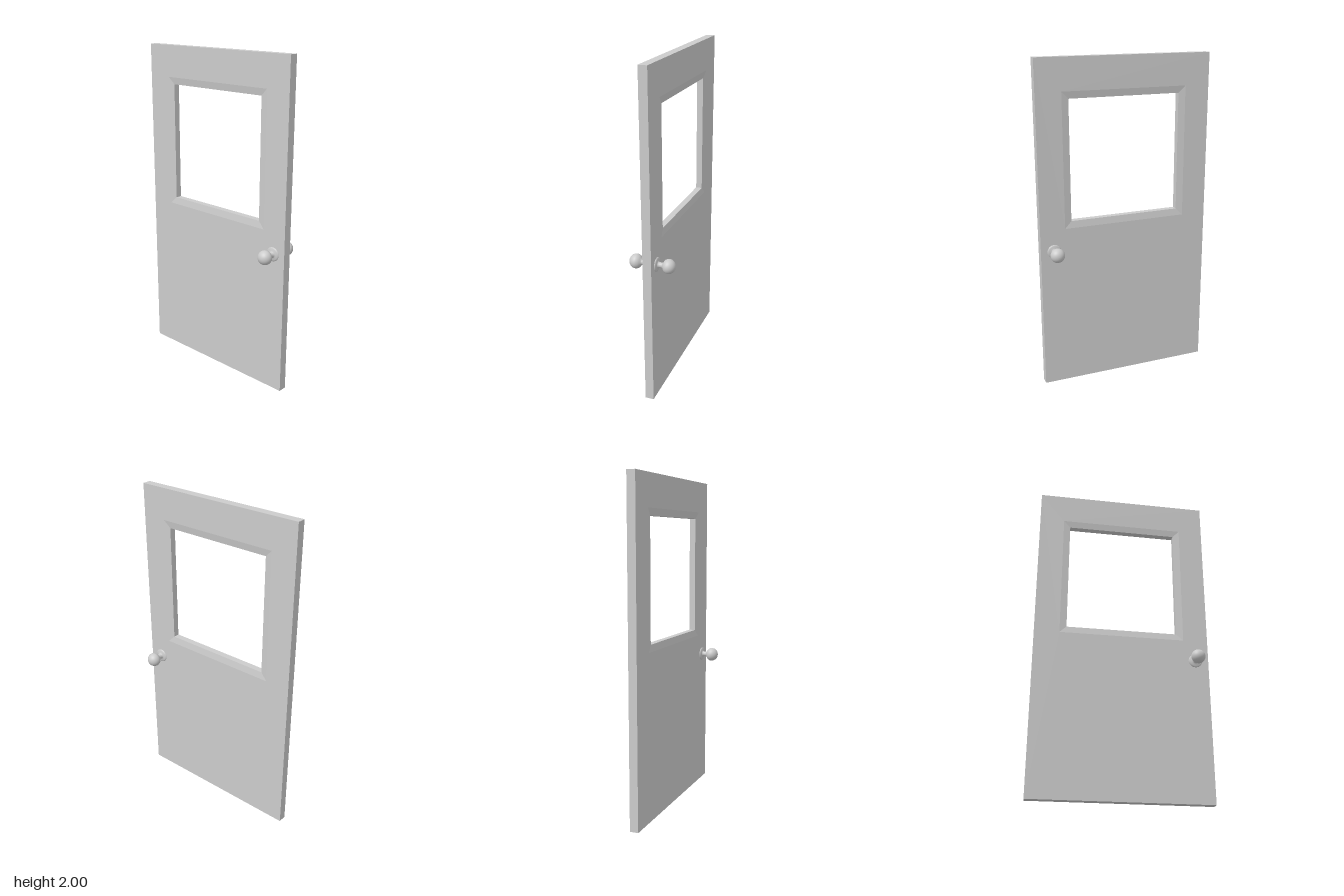
import * as THREE from 'three';

const material = new THREE.MeshStandardMaterial({ color: 0xcccccc });

// Rectangular loop, anticlockwise as seen from the front
const rect = (x, y0, y1, z) => [[-x, y0, z], [x, y0, z], [x, y1, z], [-x, y1, z]];

// Door slab: rectangular loops joined in a closed ring, with a shallow chamfer round the window
function doorGeometry() {
  const t = 0.026, recess = 0.007, bevel = 0.042;
  const outer = z => rect(0.537, 0, 2, z);
  const chamfer = z => rect(0.342 + bevel, 1.048 - bevel, 1.768 + bevel, z);
  const opening = z => rect(0.342, 1.048, 1.768, z);
  const loops = [outer(t), chamfer(t), opening(t - recess),
    opening(recess - t), chamfer(-t), outer(-t)];
  const positions = [];
  loops.forEach((loop, k) => {
    const next = loops[(k + 1) % loops.length];
    for (let i = 0; i < 4; i++) {
      const j = (i + 1) % 4;
      const [a, b, c, d] = [loop[i], loop[j], next[j], next[i]];
      positions.push(...a, ...b, ...c, ...a, ...c, ...d);
    }
  });
  const geometry = new THREE.BufferGeometry();
  geometry.setAttribute('position', new THREE.Float32BufferAttribute(positions, 3));
  geometry.computeVertexNormals();
  return geometry;
}

// Knob: rosette, neck and rounded grip turned as one profile
function knobGeometry() {
  const profile = [[0.042, 0.024], [0.042, 0.03], [0.034, 0.033], [0.023, 0.035],
    [0.017, 0.038], [0.016, 0.048], [0.016, 0.06], [0.019, 0.066], [0.028, 0.071], [0.037, 0.079]];
  const steps = 12;
  for (let i = 0; i <= steps; i++) {
    const a = -0.2 + (Math.PI / 2 + 0.2) * i / steps;
    profile.push([i === steps ? 0 : 0.043 * Math.cos(a), 0.098 + 0.041 * Math.sin(a)]);
  }
  return new THREE.LatheGeometry(profile.map(([r, h]) => new THREE.Vector2(r, h)), 32);
}

export function createModel() {
  const group = new THREE.Group();
  group.name = 'door';

  const panel = new THREE.Mesh(doorGeometry(), material);
  panel.name = 'doorPanel';
  group.add(panel);

  // One knob on each face
  const knob = knobGeometry();
  for (const side of [1, -1]) {
    const mesh = new THREE.Mesh(knob, material);
    mesh.name = side > 0 ? 'frontKnob' : 'backKnob';
    mesh.position.set(0.455, 0.873, 0);
    mesh.rotation.x = side * Math.PI / 2;
    group.add(mesh);
  }
  return group;
}
